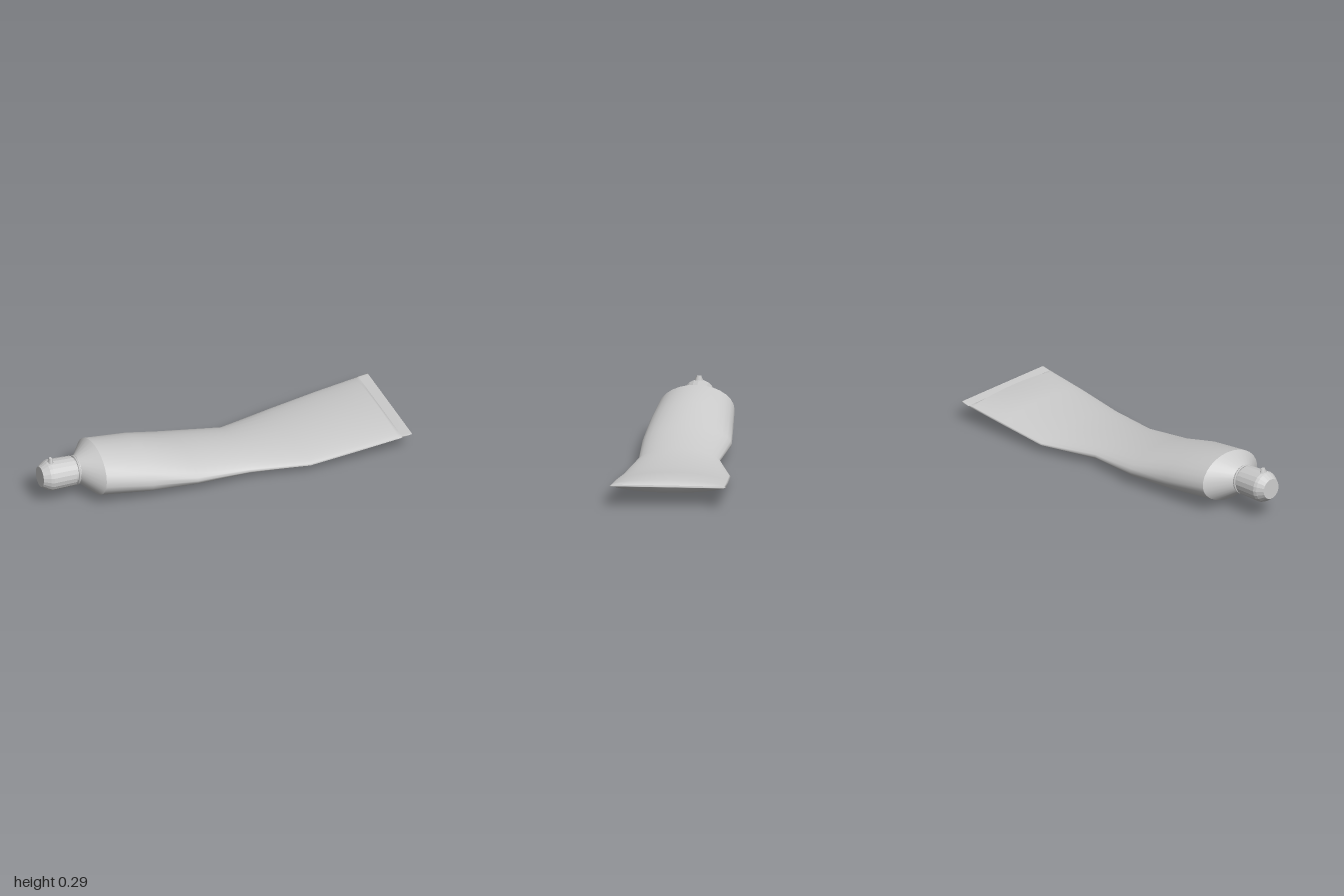
import * as THREE from 'three';

const SIDES = 28;
const grey = new THREE.MeshStandardMaterial({ color: 0xcccccc, side: THREE.DoubleSide });

function mesh(name, geometry, material = grey) {
  const m = new THREE.Mesh(geometry, material);
  m.name = name;
  return m;
}

// Skin lens-shaped rings; power 1 is an ellipse, higher gives thinner edges
function loft(sections) {
  const pos = [], index = [];
  for (const { x, bottom, top, edge, back, front, power = 1, lean = 0 } of sections) {
    for (let i = 0; i < SIDES; i++) {
      const a = (i / SIDES) * Math.PI * 2, s = Math.sin(a);
      const rise = Math.pow(Math.abs(s), power);
      const y = edge + rise * (s > 0 ? top - edge : bottom - edge);
      const z = (front + back) / 2 + Math.cos(a) * (front - back) / 2;
      pos.push(x + lean * s, y, z);
    }
  }
  for (let r = 0; r < sections.length - 1; r++) {
    for (let i = 0; i < SIDES; i++) {
      const j = (i + 1) % SIDES;
      const a = r * SIDES + i, b = r * SIDES + j, c = a + SIDES, d = b + SIDES;
      index.push(a, c, b, b, c, d);
    }
  }
  const g = new THREE.BufferGeometry();
  g.setAttribute('position', new THREE.Float32BufferAttribute(pos, 3));
  g.setIndex(index);
  g.computeVertexNormals();
  return g;
}

export function createModel() {
  const tube = new THREE.Group();
  tube.name = 'squeezeTube';

  // Squeezed body, from round shoulder to flattened tail
  const shoulderRing = { x: -0.70, bottom: 0.04, top: 0.29, edge: 0.155, back: -0.21, front: 0.195, lean: 0.018 };
  const tail = { x: 0.945, bottom: 0.1, top: 0.108, edge: 0.104, back: -0.307, front: 0.303, power: 0.3 };
  tube.add(mesh('body', loft([
    shoulderRing,
    { x: -0.44, bottom: 0.01, top: 0.25, edge: 0.115, back: -0.226, front: 0.22 },
    { x: -0.19, bottom: 0.005, top: 0.172, edge: 0.085, back: -0.24, front: 0.235, power: 1.1 },
    { x: 0.11, bottom: 0.002, top: 0.122, edge: 0.06, back: -0.204, front: 0.227, power: 1.2 },
    { x: 0.43, bottom: 0.006, top: 0.095, edge: 0.048, back: -0.288, front: 0.28, power: 1.4 },
    { x: 0.70, bottom: 0.025, top: 0.125, edge: 0.078, back: -0.3, front: 0.295, power: 1.4 },
    { x: 0.92, bottom: 0.064, top: 0.135, edge: 0.1, back: -0.306, front: 0.302, power: 1.2 },
    tail,
  ])));

  // Sealed crimp at the tail
  tube.add(mesh('crimp', loft([
    tail,
    { ...tail, x: 1, bottom: 0.109, top: 0.113, edge: 0.111 },
    { ...tail, x: 1, bottom: 0.111, top: 0.111, edge: 0.111 },
  ])));

  // Conical shoulder
  tube.add(mesh('shoulder', loft([
    { x: -0.79, bottom: 0.1, top: 0.245, edge: 0.172, back: -0.075, front: 0.072, lean: 0.004 },
    shoulderRing,
  ])));

  // Neck and cap share an axis tipped slightly down toward the body
  const head = new THREE.Group();
  head.name = 'head';
  head.position.set(-0.9, 0.175, 0);
  head.rotation.z = -0.05;
  tube.add(head);

  const neck = mesh('neck', new THREE.CylinderGeometry(0.067, 0.067, 0.08, 24));
  neck.rotation.z = Math.PI / 2;
  neck.position.x = 0.1;
  head.add(neck);

  const capMaterial = grey.clone();
  capMaterial.flatShading = true;
  const profile = [[0, 0.08], [0.072, 0.08], [0.08, 0.084], [0.084, -0.048], [0.078, -0.064], [0.055, -0.099], [0, -0.099]]
    .map(([r, y]) => new THREE.Vector2(r, -y));
  const cap = mesh('cap', new THREE.LatheGeometry(profile, 20), capMaterial);
  cap.material.side = THREE.DoubleSide;
  cap.rotation.z = Math.PI / 2;
  head.add(cap);

  // Collar at the foot of the cap
  const collar = mesh('collar', new THREE.TorusGeometry(0.075, 0.006, 6, 28));
  collar.rotation.y = Math.PI / 2;
  collar.position.x = 0.1;
  head.add(collar);

  // Small thumb tab on top of the cap
  const tab = mesh('thumbTab', new THREE.CylinderGeometry(0.008, 0.016, 0.03, 6));
  tab.scale.z = 1.6;
  tab.position.set(-0.043, 0.09, 0);
  head.add(tab);

  return tube;
}
